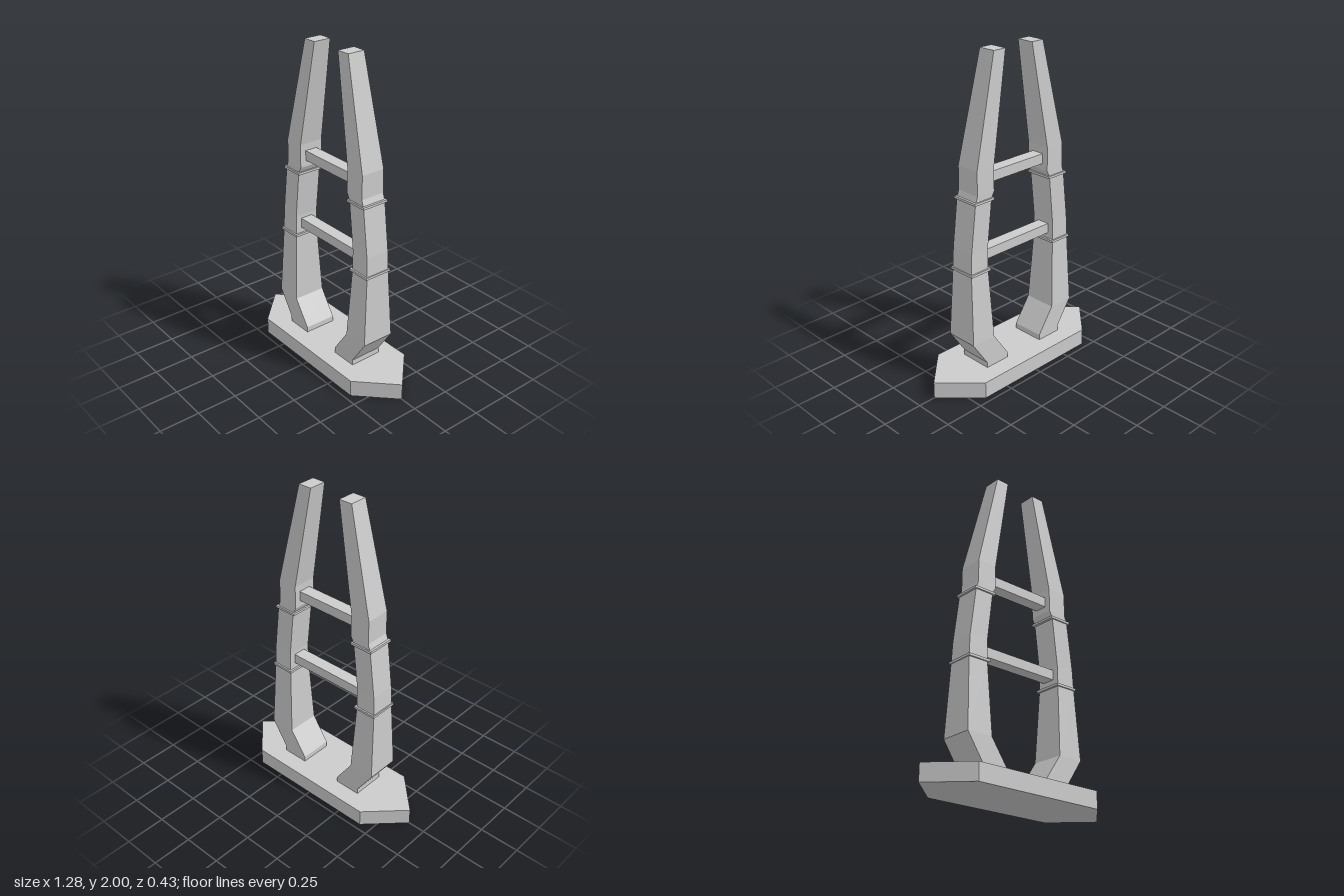
import * as THREE from 'three';

const material = new THREE.MeshStandardMaterial({ color: 0xcccccc, flatShading: true });

// Leg cross-sections from bottom to top: [y, inner x, outer x, half depth]
const LEG = [
  [0.1, 0.14, 0.308, 0.104],
  [0.14, 0.14, 0.308, 0.104],
  [0.3, 0.25, 0.415, 0.104],
  [0.74, 0.27, 0.4, 0.08],
  [0.87, 0.27, 0.394, 0.078],
  [1.175, 0.236, 0.357, 0.078],
  [1.215, 0.215, 0.342, 0.078],
  [1.36, 0.215, 0.342, 0.077],
  [2.0, 0.102, 0.188, 0.055],
];

// Thin collars around each leg: [y, inner x, outer x, half depth]
const COLLARS = [
  [0.743, 0.257, 0.406, 0.09],
  [1.173, 0.222, 0.369, 0.087],
];

// Crossbeams: [y, half length]
const BEAMS = [[0.817, 0.275], [1.285, 0.222]];

function addMesh(parent, name, geometry, x = 0, y = 0, z = 0) {
  const mesh = new THREE.Mesh(geometry, material);
  mesh.name = name;
  mesh.position.set(x, y, z);
  parent.add(mesh);
}

// Joins rectangular cross-sections into one closed, faceted solid
function loftRectangles(sections, side) {
  const rings = sections.map(([y, inner, outer, d]) => {
    const x0 = Math.min(inner * side, outer * side);
    const x1 = Math.max(inner * side, outer * side);
    return [[x0, y, d], [x1, y, d], [x1, y, -d], [x0, y, -d]];
  });
  const positions = [];
  const quad = (a, b, c, d) => positions.push(...a, ...b, ...c, ...a, ...c, ...d);
  for (let i = 0; i < rings.length - 1; i++) {
    for (let j = 0; j < 4; j++) {
      const k = (j + 1) % 4;
      quad(rings[i][j], rings[i][k], rings[i + 1][k], rings[i + 1][j]);
    }
  }
  quad(...rings[rings.length - 1]);
  quad(...[...rings[0]].reverse());
  const geometry = new THREE.BufferGeometry();
  geometry.setAttribute('position', new THREE.Float32BufferAttribute(positions, 3));
  geometry.computeVertexNormals();
  return geometry;
}

export function createModel() {
  const model = new THREE.Group();
  model.name = 'bridgeTower';

  // Foundation: flat slab pointed at both ends
  const outline = new THREE.Shape([
    [0.64, 0], [0.425, 0.214], [-0.425, 0.214],
    [-0.64, 0], [-0.425, -0.214], [0.425, -0.214],
  ].map(([x, z]) => new THREE.Vector2(x, z)));
  const slab = new THREE.ExtrudeGeometry(outline, { depth: 0.105, bevelEnabled: false });
  addMesh(model, 'foundation', slab.rotateX(-Math.PI / 2));

  // Mirrored legs with their collars
  for (const [side, label] of [[1, 'left'], [-1, 'right']]) {
    addMesh(model, label + 'Leg', loftRectangles(LEG, side));
    for (const [y, inner, outer, d] of COLLARS) {
      const collar = new THREE.BoxGeometry(outer - inner, 0.015, d * 2);
      addMesh(model, label + 'Collar', collar, side * (inner + outer) / 2, y);
    }
  }

  // Crossbeams between the legs
  for (const [y, half] of BEAMS) {
    addMesh(model, 'crossbeam', new THREE.BoxGeometry(half * 2, 0.062, 0.08), 0, y);
  }
  return model;
}
